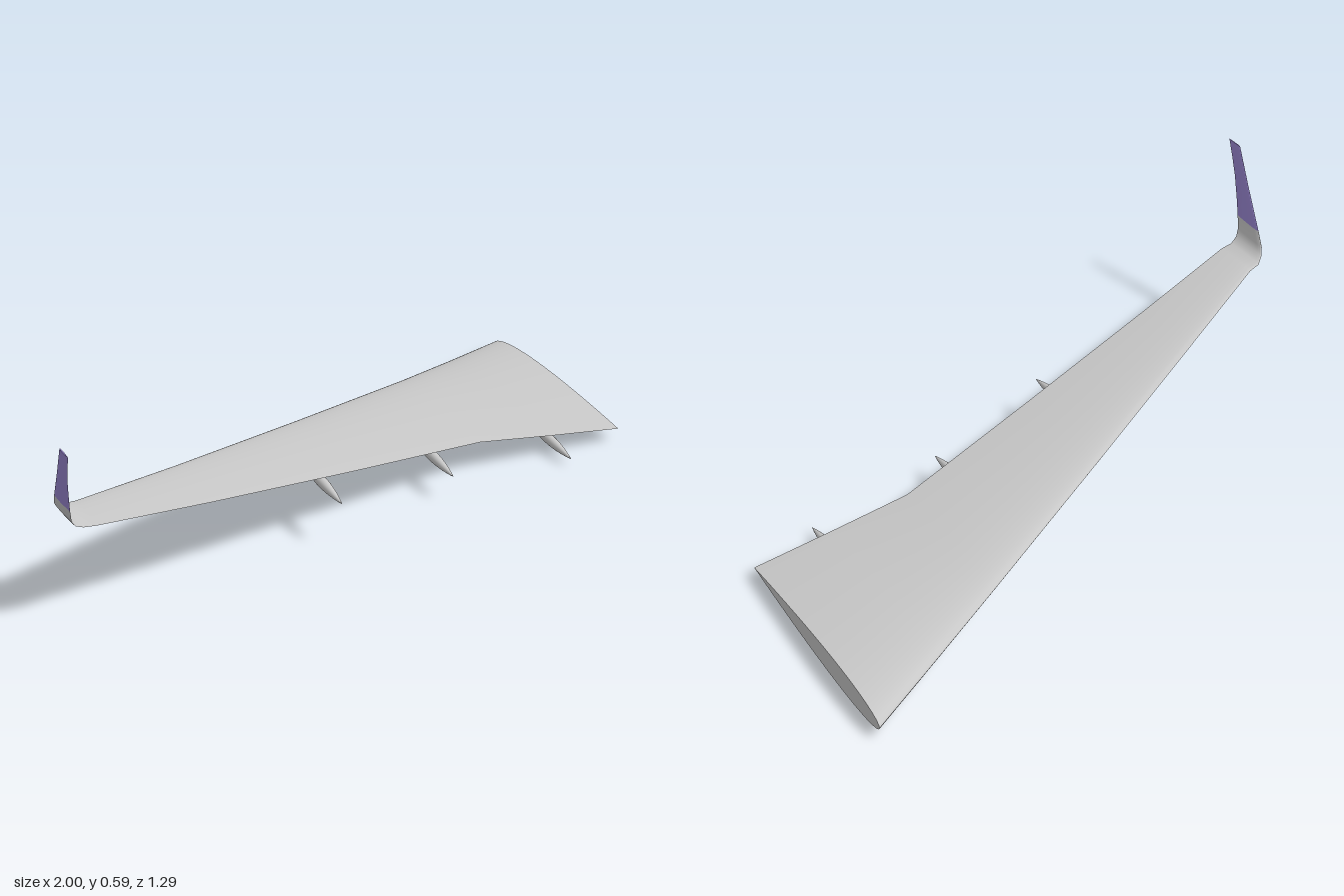
import * as THREE from 'three';
import { toCreasedNormals } from 'three/addons/utils/BufferGeometryUtils.js';

const N = 20; // chordwise steps per side

// Symmetric aerofoil half thickness, scaled so its peak is 0.5
const halfThickness = (u) =>
  5 * (0.2969 * Math.sqrt(u) - 0.126 * u - 0.3516 * u ** 2 + 0.2843 * u ** 3 - 0.1036 * u ** 4);

// Ring of points: trailing edge, over the top, round the nose, back below.
// Station: [x, y, leading z, trailing z, thickness, roll in degrees]
function ring([x, y, zLead, zTrail, thick, roll]) {
  const a = THREE.MathUtils.degToRad(roll);
  const points = [];
  for (let j = 0; j <= 2 * N; j++) {
    const u = (1 + Math.cos((Math.PI * j) / N)) / 2;
    const h = (j <= N ? 1 : -1) * thick * halfThickness(u);
    points.push([x + h * Math.sin(a), y + h * Math.cos(a), zLead + (zTrail - zLead) * u]);
  }
  return points;
}

// Skin through the stations, with optional flat end caps
function loft(stations, capStart, capEnd) {
  const positions = stations.flatMap((s) => ring(s).flat());
  const index = [];
  const row = 2 * N + 1;
  const last = (stations.length - 1) * row;
  for (let i = 0; i < stations.length - 1; i++) {
    for (let j = 0; j < 2 * N; j++) {
      const a = i * row + j, c = a + row;
      index.push(a, a + 1, c, a + 1, c + 1, c);
    }
  }
  for (let j = 1; j < 2 * N - 1; j++) {
    if (capStart) index.push(0, j + 1, j);
    if (capEnd) index.push(last, last + j, last + j + 1);
  }
  const geometry = new THREE.BufferGeometry();
  geometry.setAttribute('position', new THREE.Float32BufferAttribute(positions, 3));
  geometry.setIndex(index);
  return toCreasedNormals(geometry, 0.8);
}

// Spindle with pointed ends, lying along z
function spindle(radius, length) {
  const profile = [];
  for (let i = 0; i <= 20; i++) {
    const t = i / 20;
    profile.push(new THREE.Vector2(radius * Math.sin(Math.PI * t) ** 0.85, (t - 0.5) * length));
  }
  return new THREE.LatheGeometry(profile, 20).rotateX(Math.PI / 2);
}

export function createModel() {
  const group = new THREE.Group();
  const grey = new THREE.MeshStandardMaterial({ name: 'wingGrey', color: 0xc8c8c8 });
  const purple = new THREE.MeshStandardMaterial({ name: 'wingletPurple', color: 0x9a87d2 });

  const add = (name, geometry, material) => {
    const mesh = new THREE.Mesh(geometry, material);
    mesh.name = name;
    group.add(mesh);
    return mesh;
  };

  // Main wing, from the root to the curved foot of the winglet
  const seam = [-0.957, 0.375, 0.408, 0.524, 0.008, 79];
  add('wing', loft([
    [1, 0.04, -0.645, 0.12, 0.08, 0],
    [0.75, 0.067, -0.515, 0.12, 0.062, 0],
    [0.5, 0.097, -0.385, 0.12, 0.046, 0],
    [0, 0.165, -0.126, 0.253, 0.032, 0],
    [-0.5, 0.238, 0.134, 0.386, 0.018, 0],
    [-0.87, 0.297, 0.325, 0.485, 0.01, 5],
    [-0.91, 0.302, 0.336, 0.488, 0.009, 16],
    [-0.935, 0.315, 0.356, 0.497, 0.008, 38],
    [-0.948, 0.335, 0.374, 0.507, 0.008, 62],
    seam,
  ], true, false), grey);

  // Painted upper part of the winglet
  add('wingletTip', loft([
    seam,
    [-0.966, 0.42, 0.447, 0.545, 0.007, 79],
    [-0.98, 0.49, 0.507, 0.581, 0.006, 79],
    [-0.99, 0.545, 0.55, 0.615, 0.005, 79],
    [-0.998, 0.59, 0.585, 0.645, 0.004, 79],
  ], false, true), purple);

  // Flap track fairings under the trailing edge: x, y, rear end z
  const length = 0.27;
  for (const [x, y, rear] of [[0.77, 0.037, 0.215], [0.33, 0.093, 0.262], [-0.095, 0.149, 0.374]]) {
    const fairing = add('flapFairing', spindle(0.016, length), grey);
    fairing.position.set(x, y, rear - length / 2);
    fairing.rotation.x = 0.1;
  }
  return group;
}
